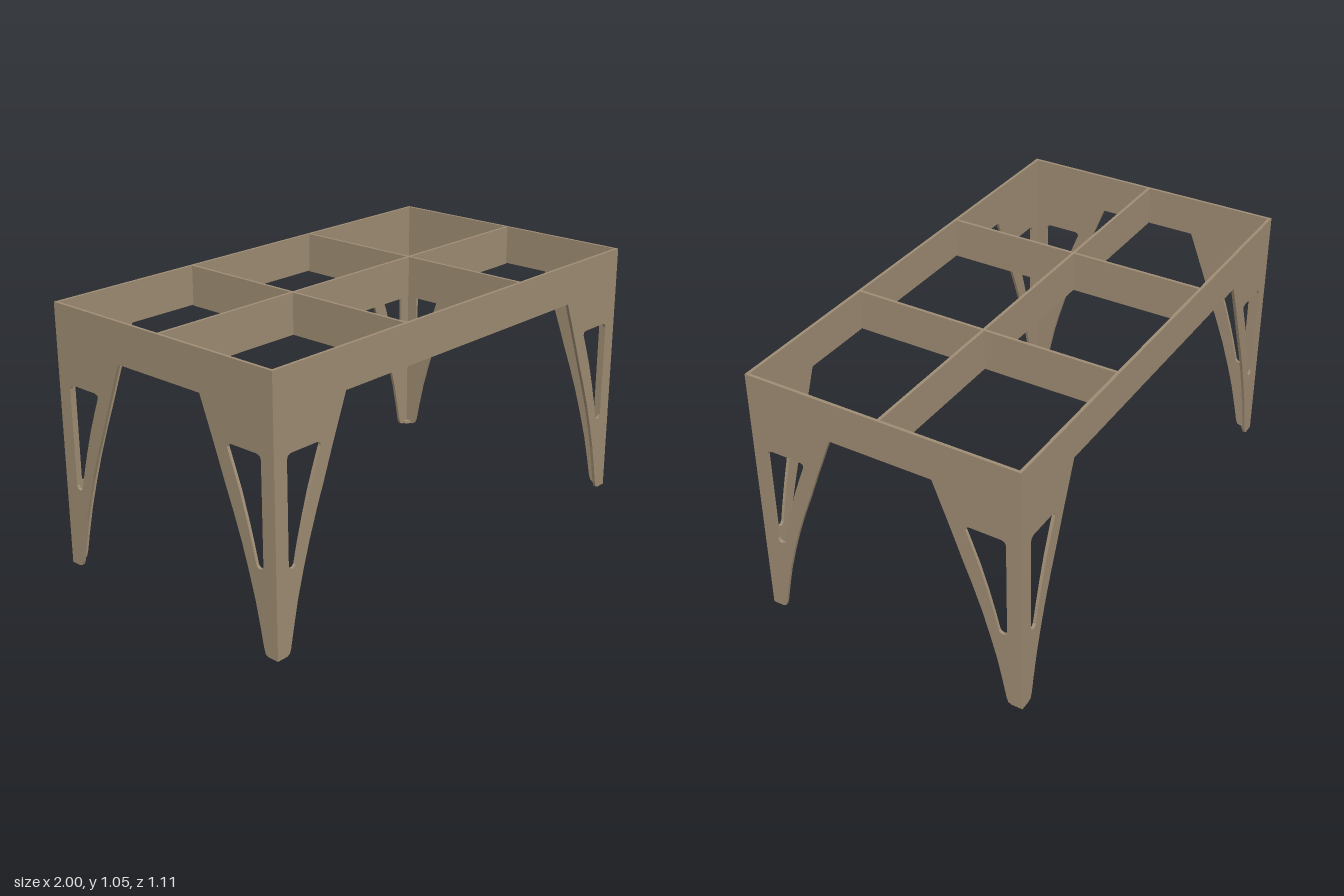
import * as THREE from 'three';

const TOP = 1.05, UNDER = 0.89, T = 0.012, HALF_X = 1, HALF_Z = 0.557;

// Inner leg edge, as [distance from the corner, height], foot upwards
const LEG = [[0.045, 0], [0.058, 0.006], [0.065, 0.025], [0.08, 0.1], [0.102, 0.2], [0.13, 0.3],
  [0.161, 0.4], [0.197, 0.5], [0.236, 0.6], [0.277, 0.71], [0.312, 0.8], [0.347, UNDER]];

// Cut-out in the upper leg, with small rounded corners
const WINDOW = [[0.06, 0.34], [0.064, 0.329], [0.075, 0.325], [0.086, 0.327], [0.093, 0.335],
  [0.112, 0.41], [0.136, 0.495], [0.166, 0.59], [0.198, 0.675], [0.22, 0.73], [0.218, 0.741], [0.205, 0.746],
  [0.08, 0.746], [0.065, 0.741], [0.06, 0.727]];

// Apron and two legs cut from one sheet; inset shortens the sheet at both ends
function sidePanel(half, inset, material) {
  const left = LEG.map(([d, y]) => new THREE.Vector2(-half + d, y));
  const right = LEG.map(([d, y]) => new THREE.Vector2(half - d, y)).reverse();
  const end = half - inset;
  const shape = new THREE.Shape([
    new THREE.Vector2(-end, 0), ...left, ...right,
    new THREE.Vector2(end, 0), new THREE.Vector2(end, TOP), new THREE.Vector2(-end, TOP),
  ]);
  for (const s of [-1, 1]) {
    shape.holes.push(new THREE.Path(WINDOW.map(([d, y]) => new THREE.Vector2(s * (half - d), y))));
  }
  const geometry = new THREE.ExtrudeGeometry(shape, { depth: T, bevelEnabled: false });
  return new THREE.Mesh(geometry, material);
}

export function createModel() {
  const group = new THREE.Group();
  const wood = new THREE.MeshStandardMaterial({ color: 0xa18e75 });
  wood.name = 'tan wood';
  const add = (mesh, name) => {
    mesh.name = name;
    group.add(mesh);
    return mesh;
  };

  // Long front and back panels
  add(sidePanel(HALF_X, 0, wood), 'frontPanel').position.z = HALF_Z - T;
  add(sidePanel(HALF_X, 0, wood), 'backPanel').position.z = -HALF_Z;

  // Short end panels, fitted between the long ones
  for (const s of [-1, 1]) {
    const panel = add(sidePanel(HALF_Z, T, wood), s > 0 ? 'leftPanel' : 'rightPanel');
    panel.rotation.y = Math.PI / 2;
    panel.position.x = s > 0 ? HALF_X - T : -HALF_X;
  }

  // Lattice of beams under the open top
  const low = 0.886, h = TOP - low, midY = (TOP + low) / 2;
  const longBeam = new THREE.BoxGeometry(2 * (HALF_X - T), h, T);
  add(new THREE.Mesh(longBeam, wood), 'longBeam').position.y = midY;
  const length = HALF_Z - T - T / 2;
  const crossBeam = new THREE.BoxGeometry(T, h, length);
  for (const x of [-1 / 3, 1 / 3]) {
    for (const s of [-1, 1]) {
      add(new THREE.Mesh(crossBeam, wood), 'crossBeam').position.set(x, midY, s * (T / 2 + length / 2));
    }
  }

  // Quarter-round pads inside the feet
  const quarter = new THREE.Shape();
  quarter.moveTo(0, 0);
  quarter.lineTo(0.024, 0);
  quarter.absarc(0, 0, 0.024, 0, Math.PI / 2, false);
  quarter.lineTo(0, 0);
  const pad = new THREE.ExtrudeGeometry(quarter, { depth: 0.012, bevelEnabled: false, curveSegments: 6 });
  pad.rotateX(-Math.PI / 2);
  const corners = [[-1, 1], [1, 1], [1, -1], [-1, -1]];
  corners.forEach(([sx, sz], i) => {
    const foot = add(new THREE.Mesh(pad, wood), 'footPad');
    foot.rotation.y = i * Math.PI / 2;
    foot.position.set(sx * (HALF_X - T), 0, sz * (HALF_Z - T));
  });

  return group;
}
